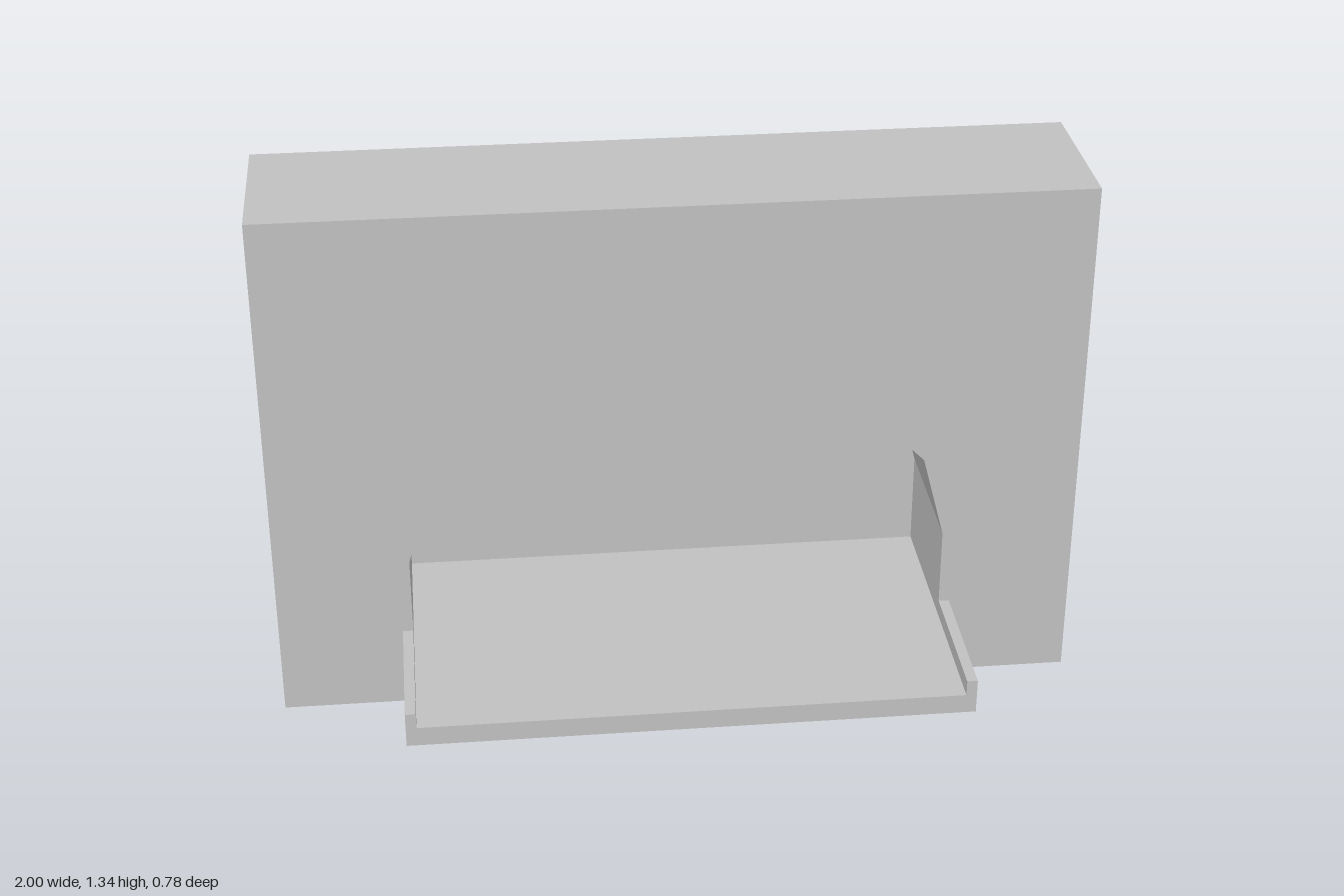
import * as THREE from 'three';

const grey = new THREE.MeshStandardMaterial({ color: 0xc0c0c0 });
grey.name = 'plain grey';

const BACK = -0.39, FACE = 0.025, FRONT = 0.39;

// Right half of the scalloped opening, from the floor up to the middle
const half = [[0.667, 0.17], [0.667, 0.41], [0.61, 0.625], [0.45, 0.785], [0.22, 0.84]];

// Mirrors a half outline about x = 0, with an optional point on the centre line
function mirrored(points, centre = []) {
  const left = points.map(([x, y]) => [-x, y]).reverse();
  return [...points, ...centre, ...left].map(([x, y]) => new THREE.Vector2(x, y));
}

function extrude(name, shape, z0, z1) {
  const geometry = new THREE.ExtrudeGeometry(shape, { depth: z1 - z0, bevelEnabled: false });
  geometry.translate(0, 0, z0);
  const mesh = new THREE.Mesh(geometry, grey);
  mesh.name = name;
  return mesh;
}

export function createModel() {
  const model = new THREE.Group();
  model.name = 'wallNiche';

  // Thick wall with the opening cut through it
  const wall = new THREE.Shape(mirrored([[1, 0], [1, 1.335]]));
  wall.holes.push(new THREE.Path(mirrored(half, [[0, 0.77]])));
  model.add(extrude('wall', wall, BACK, FACE));

  // Thin panel closing the back of the opening up to the scallop's dip
  const panel = new THREE.Shape(mirrored([...half.slice(0, 3), [0.465, 0.77]]));
  model.add(extrude('backPanel', panel, BACK, BACK + 0.03));

  // Projecting shelf with a raised rim on each side
  const shelf = new THREE.Shape(mirrored([[0.693, 0.12], [0.693, 0.21], [0.667, 0.21], [0.667, 0.17]]));
  model.add(extrude('shelf', shelf, FACE, FRONT));

  return model;
}
